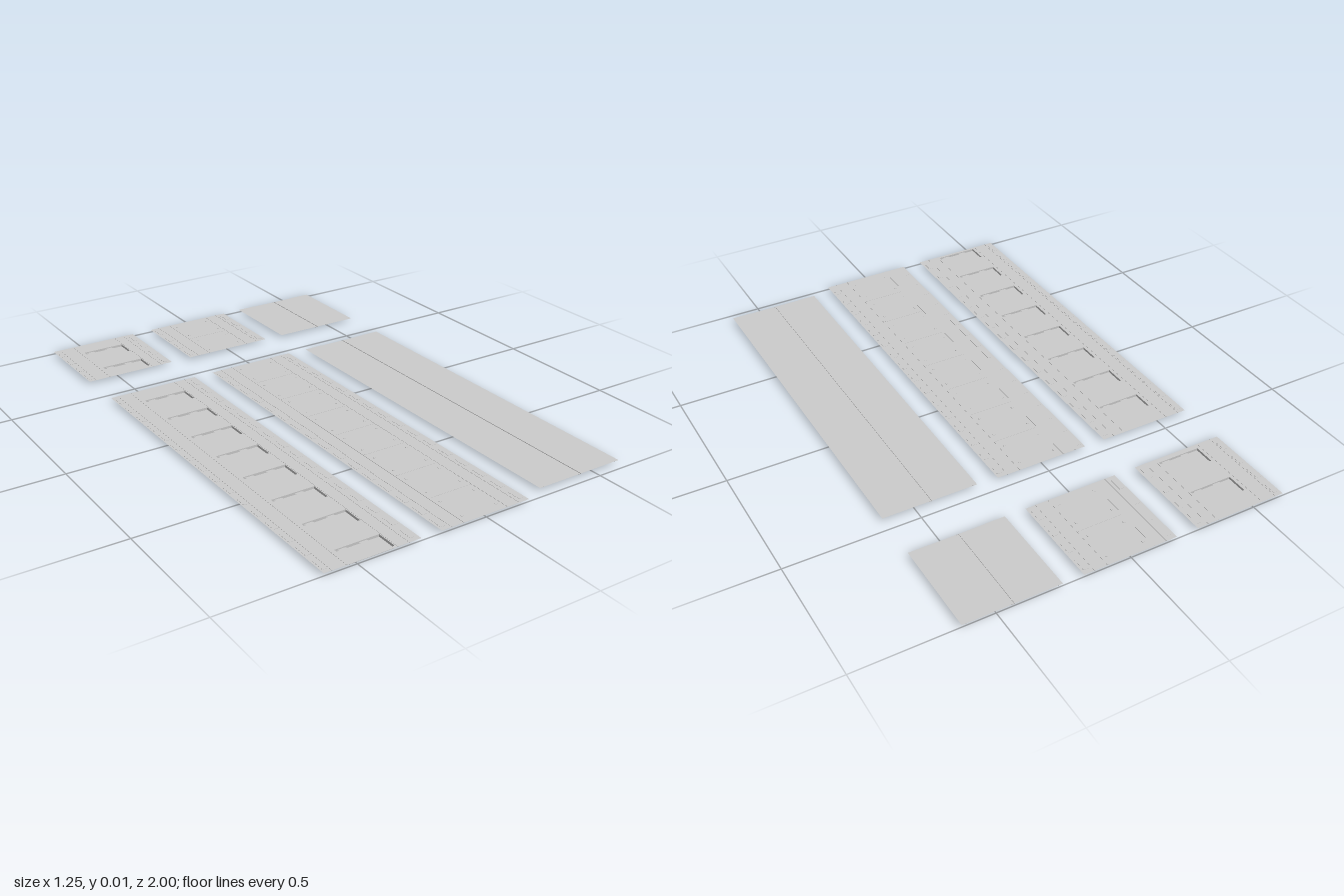
import * as THREE from 'three';

const Y = 0.009;       // sheet level
const STEP = 0.182;    // bay length
const mat = new THREE.MeshStandardMaterial({ color: 0xcccccc, side: THREE.DoubleSide, flatShading: true });

function add(group, geometry, name, x = 0, y = 0, z = 0) {
  const mesh = new THREE.Mesh(geometry, mat);
  mesh.name = name;
  mesh.position.set(x, y, z);
  group.add(mesh);
  return mesh;
}

// Flat outline given in x, z; lies facing up
const outline = (pts, Kind = THREE.Shape) => new Kind(pts.map(([x, z]) => new THREE.Vector2(x, -z)));
const rect = (x0, x1, z0, z1) => [[x0, z0], [x0, z1], [x1, z1], [x1, z0]];

function sheet(group, pts, holes, name, y = Y) {
  const shape = outline(pts);
  shape.holes = holes.map((h) => outline(h, THREE.Path));
  return add(group, new THREE.ShapeGeometry(shape).rotateX(-Math.PI / 2), name, 0, y);
}

// Four walls and a floor below the sheet
function pit(group, x0, x1, z0, z1, bottom, name) {
  const h = Y - bottom, cx = (x0 + x1) / 2, cz = (z0 + z1) / 2;
  sheet(group, rect(x0, x1, z0, z1), [], name + 'Floor', bottom);
  for (const z of [z0, z1]) add(group, new THREE.PlaneGeometry(x1 - x0, h), name + 'EndWall', cx, bottom + h / 2, z);
  for (const x of [x0, x1]) {
    add(group, new THREE.PlaneGeometry(z1 - z0, h).rotateY(Math.PI / 2), name + 'SideWall', x, bottom + h / 2, cz);
  }
}

// Thin raised line along the panel
function seam(group, x, z0, z1, w = 0.004) {
  add(group, new THREE.BoxGeometry(w, 0.001, z1 - z0), 'seam', x, Y + 0.0003, (z0 + z1) / 2);
}

// Two rows of shallow slots near the panel edges
function edgeSlots(group, xs, z0, z1) {
  const n = Math.round((z1 - z0) / (STEP / 2)), d = (z1 - z0) / n;
  for (const x of xs) for (let i = 0; i < n; i++) {
    add(group, new THREE.BoxGeometry(0.018, 0.0015, d * 0.6), 'edgeSlot', x, Y, z0 + (i + 0.5) * d);
  }
}

// Panel with a row of recessed bays crossed by diagonal bars
function grillePanel(x0, x1, z0, z1, firstEnd, bays) {
  const g = new THREE.Group();
  g.name = 'grillePanel';
  const a = -0.522, b = -0.355, holes = [];
  for (let i = 0; i < bays; i++) {
    const end = firstEnd - i * STEP, start = end - 0.08;
    holes.push(rect(a, b, start, end));
    pit(g, a, b, start, end, 0, 'bay');
    for (const s of [0, 1]) {
      const l = a + 0.01 + s * 0.08;
      sheet(g, [[l, start], [l + 0.03, start], [l + 0.065, end], [l + 0.035, end]], [], 'diagonalBar', 0.005);
    }
  }
  sheet(g, rect(x0, x1, z0, z1), holes, 'grilleSheet');
  for (const x of [x0 + 0.03, -0.537, -0.349, x1 - 0.045]) seam(g, x, z0, z1);
  edgeSlots(g, [x0 + 0.016, x1 - 0.02], z0, z1);
  return g;
}

// Panel with a centre walkway, cross lines and small studs
function walkwayPanel(z0, z1, bays) {
  const g = new THREE.Group();
  g.name = 'walkwayPanel';
  sheet(g, rect(-0.18, 0.18, z0, z1), [], 'walkwaySheet');
  for (const x of [-0.14, -0.09, 0.09, 0.14]) seam(g, x, z0, z1);
  edgeSlots(g, [-0.162, 0.162], z0, z1);
  const d = (z1 - z0) / bays;
  for (let i = 0; i < bays; i++) {
    const z = z0 + i * d;
    if (i) add(g, new THREE.BoxGeometry(0.17, 0.001, 0.003), 'crossLine', 0, Y + 0.0003, z);
    for (const x of [-0.07, 0.07]) for (const t of [0.2, 0.8]) {
      add(g, new THREE.BoxGeometry(0.008, 0.0015, 0.008), 'stud', x, Y + 0.0003, z + t * d);
    }
  }
  return g;
}

// Panel with a centre groove and toothed side bands
function bandPanel(z0, z1, teeth) {
  const g = new THREE.Group();
  g.name = 'bandPanel';
  const cx = 0.44, half = 0.18;
  sheet(g, rect(cx - half, cx - 0.005, z0, z1), [], 'sheetHalf');
  sheet(g, rect(cx + 0.005, cx + half, z0, z1), [], 'sheetHalf');
  pit(g, cx - 0.005, cx + 0.005, z0, z1, 0.007, 'groove');
  for (const s of [-1, 1]) {
    const pts = [[cx + s * half, z0], [cx + s * 0.105, z0]];
    for (const t of teeth) {
      pts.push([cx + s * 0.105, t - 0.07], [cx + s * 0.09, t - 0.05], [cx + s * 0.09, t + 0.05], [cx + s * 0.105, t + 0.07]);
    }
    pts.push([cx + s * 0.105, z1], [cx + s * half, z1]);
    sheet(g, pts, [], 'toothedBand', Y + 0.001);
    seam(g, cx + s * 0.165, z0, z1, 0.003);
  }
  return g;
}

export function createModel() {
  const model = new THREE.Group();
  model.name = 'floorPanels';
  model.add(
    grillePanel(-0.62, -0.26, -0.455, 1, 0.99, 8),
    grillePanel(-0.625, -0.265, -1, -0.64, -0.66, 2),
    walkwayPanel(-0.455, 1, 8),
    walkwayPanel(-1, -0.64, 2),
    bandPanel(-0.45, 0.965, [-0.28, 0.08, 0.43, 0.785]),
    bandPanel(-1, -0.64, [-0.825]),
  );
  return model;
}
